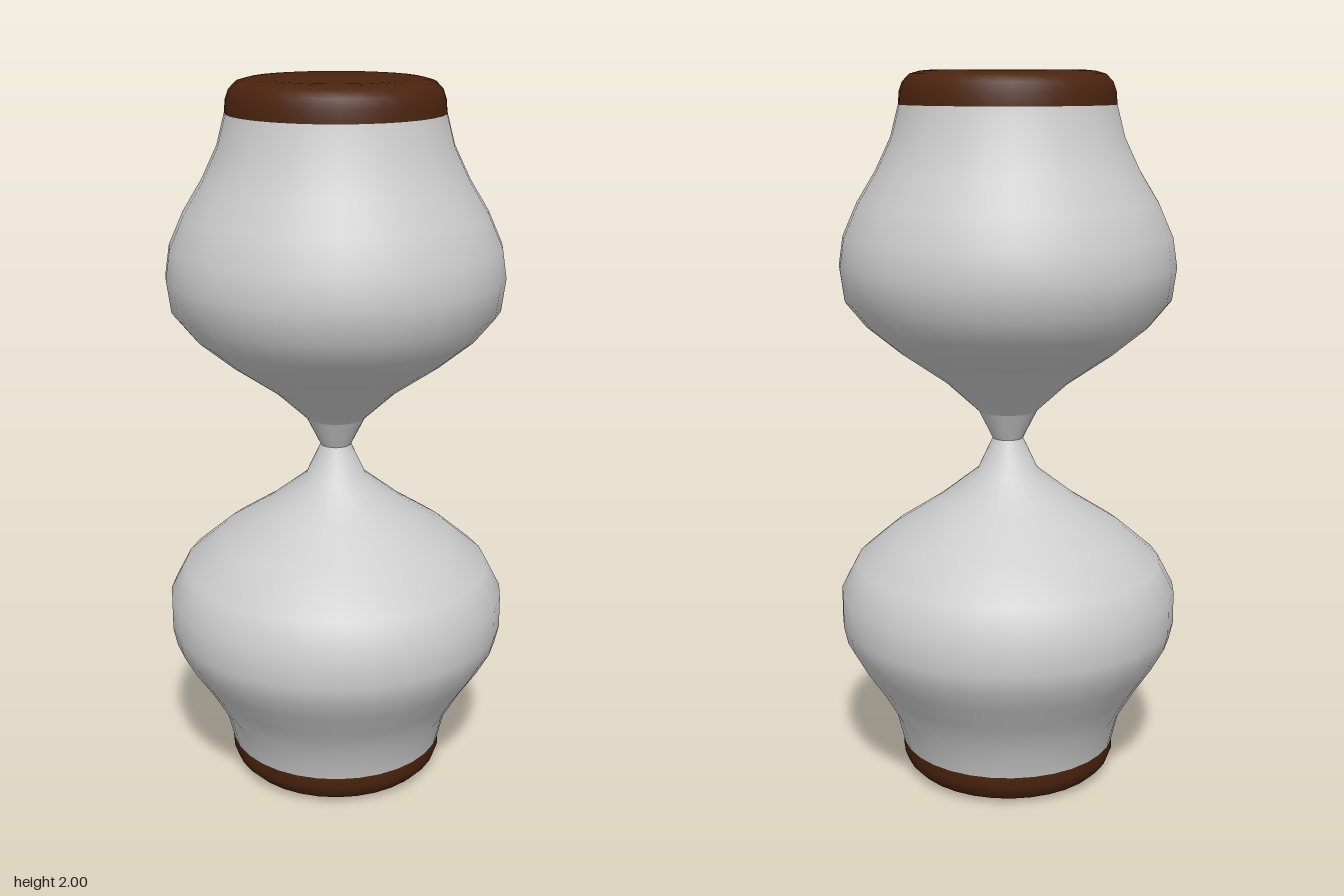
import * as THREE from 'three';

const SIDES = 32;
const glass = new THREE.MeshStandardMaterial({ color: 0xcccccc });
const wood = new THREE.MeshStandardMaterial({ color: 0x4a230e });

// Turned part from [radius, height] pairs, listed from bottom to top
function turned(name, profile, material) {
  const points = profile.map(([r, y]) => new THREE.Vector2(r, y));
  const mesh = new THREE.Mesh(new THREE.LatheGeometry(points, SIDES), material);
  mesh.name = name;
  return mesh;
}

export function createModel() {
  const group = new THREE.Group();
  group.name = 'hourglass';

  // Rounded wooden caps
  group.add(turned('bottomCap', [
    [0, 0], [0.22, 0], [0.25, 0.002], [0.278, 0.013], [0.298, 0.033], [0.308, 0.06], [0.308, 0.09],
  ], wood));
  group.add(turned('topCap', [
    [0.295, 1.91], [0.292, 1.945], [0.283, 1.97], [0.264, 1.99], [0.235, 1.998], [0.21, 2], [0, 2],
  ], wood));

  // Lower bulb
  group.add(turned('lowerBulb', [
    [0.308, 0.09], [0.33, 0.18], [0.382, 0.27], [0.432, 0.345], [0.468, 0.41], [0.479, 0.46],
    [0.479, 0.55], [0.435, 0.635], [0.33, 0.725], [0.2, 0.81], [0.085, 0.9], [0.043, 0.99],
  ], glass));

  // Flared neck, with a crease where it meets the upper bulb
  group.add(turned('neck', [[0.043, 0.99], [0.083, 1.07]], glass));

  // Upper bulb
  group.add(turned('upperBulb', [
    [0.083, 1.07], [0.175, 1.155], [0.3, 1.242], [0.395, 1.32], [0.452, 1.39], [0.464, 1.48],
    [0.452, 1.56], [0.412, 1.65], [0.36, 1.735], [0.317, 1.825], [0.295, 1.91],
  ], glass));

  return group;
}
